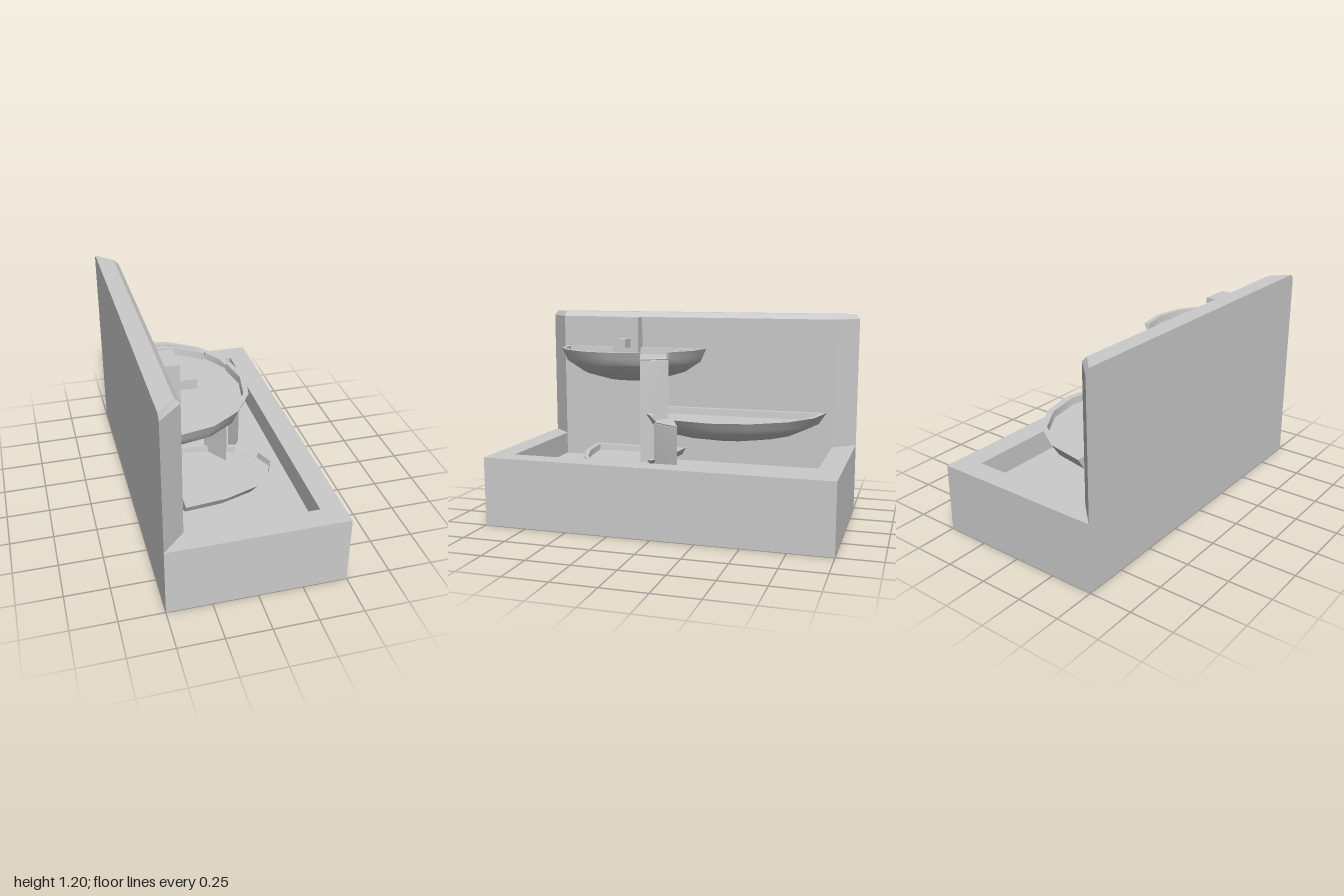
import * as THREE from 'three';
import { toCreasedNormals } from 'three/addons/utils/BufferGeometryUtils.js';

const solid = new THREE.MeshStandardMaterial({ color: 0xcccccc, flatShading: true });
const shell = new THREE.MeshStandardMaterial({ color: 0xcccccc, side: THREE.DoubleSide });
const SEG = 8, NOTCH = 2;

function add(parent, name, geometry, material = solid) {
  const mesh = new THREE.Mesh(geometry, material);
  mesh.name = name;
  parent.add(mesh);
  return mesh;
}

function box(parent, name, x0, x1, y0, y1, z0, z1) {
  add(parent, name, new THREE.BoxGeometry(x1 - x0, y1 - y0, z1 - z0))
    .position.set((x0 + x1) / 2, (y0 + y1) / 2, (z0 + z1) / 2);
}

// Collects quads into one geometry with creased normals
function quadSurface(build) {
  const pos = [];
  build((a, b, c, d) => [a, b, c, a, c, d].forEach((p) => pos.push(...p)));
  const geo = new THREE.BufferGeometry();
  geo.setAttribute('position', new THREE.Float32BufferAttribute(pos, 3));
  return toCreasedNormals(geo, 0.6);
}

// Half bowl with a flat back, a raised rim, a notch and a falling sheet of water.
// side is the z direction of the notch.
function spillBowl({ name, x, y, z, rx, rz, depth, rim, side, fallTo, lip = 0.04 }) {
  const group = new THREE.Group();
  group.name = name;
  const point = (j, f, drop) => {
    const a = (j * Math.PI) / SEG;
    return [x + rx * f * Math.sin(a), y - drop, z + side * rz * f * Math.cos(a)];
  };
  const inner = (j, inset, drop) => {
    const a = (j * Math.PI) / SEG;
    return [x + inset + (rx - 2 * inset) * Math.sin(a), y - drop,
      z + side * (rz - inset) * Math.cos(a)];
  };
  const firstDrop = depth * Math.sin(Math.PI / 8);
  const lipF = 1 - (1 - Math.cos(Math.PI / 8)) * Math.min(lip / firstDrop, 0.95);
  // Outer profile: rim, lip level, then a quarter ellipse to the bottom
  const rows = [[1, 0], [lipF, Math.min(lip, firstDrop * 0.95)]];
  for (let k = 1; k <= 4; k++) {
    const b = (k * Math.PI) / 8;
    rows.push([Math.cos(b), depth * Math.sin(b)]);
  }
  const out = (j, k) => point(j, ...rows[k]);
  const top = (j) => inner(j, rim, 0);
  const floor = (j) => inner(j, rim + 0.005, lip);

  add(group, name + 'Shell', quadSurface((quad) => {
    // Keep the winding outward for both notch directions
    const q = (a, b, c, d) => (side > 0 ? quad(a, b, c, d) : quad(d, c, b, a));
    const centre = [x + rim + 0.005, y - lip, z];
    for (let j = 0; j < SEG; j++) {
      const open = j === NOTCH;
      for (let k = open ? 1 : 0; k < 5; k++) q(out(j, k), out(j, k + 1), out(j + 1, k + 1), out(j + 1, k));
      if (open) {
        q(out(j, 1), out(j + 1, 1), floor(j + 1), floor(j));
        q(out(j, 0), out(j, 1), floor(j), top(j));
        q(out(j + 1, 0), top(j + 1), floor(j + 1), out(j + 1, 1));
      } else {
        q(out(j, 0), out(j + 1, 0), top(j + 1), top(j));
        q(top(j), top(j + 1), floor(j + 1), floor(j));
      }
      q(floor(j), floor(j + 1), centre, centre);
    }
    // Straight back: rim, inner wall and outer face
    q(out(SEG, 0), out(0, 0), top(0), top(SEG));
    q(top(SEG), top(0), floor(0), floor(SEG));
    for (let k = 0; k < 5; k++) q(out(0, k), out(SEG, k), out(SEG, k + 1), out(0, k + 1));
  }), shell);

  // Water curls over the lip and drops straight down
  const path = [[lipF - 0.06, lip - 0.004], [lipF - 0.02, lip - 0.002],
    [lipF - 0.003, lip + 0.006], [lipF, lip + 0.02], [lipF, y - fallTo]];
  add(group, name + 'Waterfall', quadSurface((quad) => {
    for (let i = 0; i < path.length - 1; i++) {
      quad(point(NOTCH, ...path[i]), point(NOTCH, ...path[i + 1]),
        point(NOTCH + 1, ...path[i + 1]), point(NOTCH + 1, ...path[i]));
    }
  }), shell);
  return group;
}

export function createModel() {
  const model = new THREE.Group();
  model.name = 'fountain';

  // Pool: rectangular wall ring and a sunken floor
  const rect = (path, w, d) => path.moveTo(-w, -d).lineTo(w, -d).lineTo(w, d).lineTo(-w, d).closePath();
  const ring = rect(new THREE.Shape(), 0.5, 1);
  ring.holes.push(rect(new THREE.Path(), 0.37, 0.87));
  add(model, 'poolWalls', new THREE.ExtrudeGeometry(ring, { depth: 0.4, bevelEnabled: false })
    .rotateX(-Math.PI / 2));
  box(model, 'poolFloor', -0.37, 0.37, 0, 0.265, -0.87, 0.87);

  // Back wall: mitred ends and a chamfered top
  const wall = new THREE.BoxGeometry(1, 1, 1, 1, 2, 1);
  const p = wall.attributes.position;
  for (let i = 0; i < p.count; i++) {
    const level = Math.round(p.getY(i) * 2) + 1;
    const front = p.getX(i) > 0, cap = level === 2;
    p.setXYZ(i, front ? (cap ? -0.4 : -0.37) : -0.5, [0.4, 1.17, 1.2][level],
      Math.sign(p.getZ(i)) * (front ? 0.87 : cap ? 0.975 : 1));
  }
  add(model, 'backWall', wall);

  // Tap above the upper bowl
  box(model, 'tapBody', -0.37, -0.29, 0.94, 1.17, 0.34, 0.51);
  box(model, 'tapSpout', -0.29, -0.19, 0.985, 1.04, 0.39, 0.45);

  // Three cascading bowls
  model.add(
    spillBowl({ name: 'upperBowl', x: -0.37, y: 0.98, z: 0.385, rx: 0.46, rz: 0.465,
      depth: 0.21, rim: 0.03, side: -1, fallTo: 0.325 }),
    spillBowl({ name: 'middleBowl', x: -0.305, y: 0.62, z: -0.27, rx: 0.565, rz: 0.57,
      depth: 0.175, rim: 0.04, side: 1, fallTo: 0.265 }),
    spillBowl({ name: 'lowerBowl', x: -0.3, y: 0.36, z: 0.33, rx: 0.605, rz: 0.3,
      depth: 0.11, rim: 0.035, side: -1, fallTo: 0.265, lip: 0.035 }),
  );
  return model;
}
